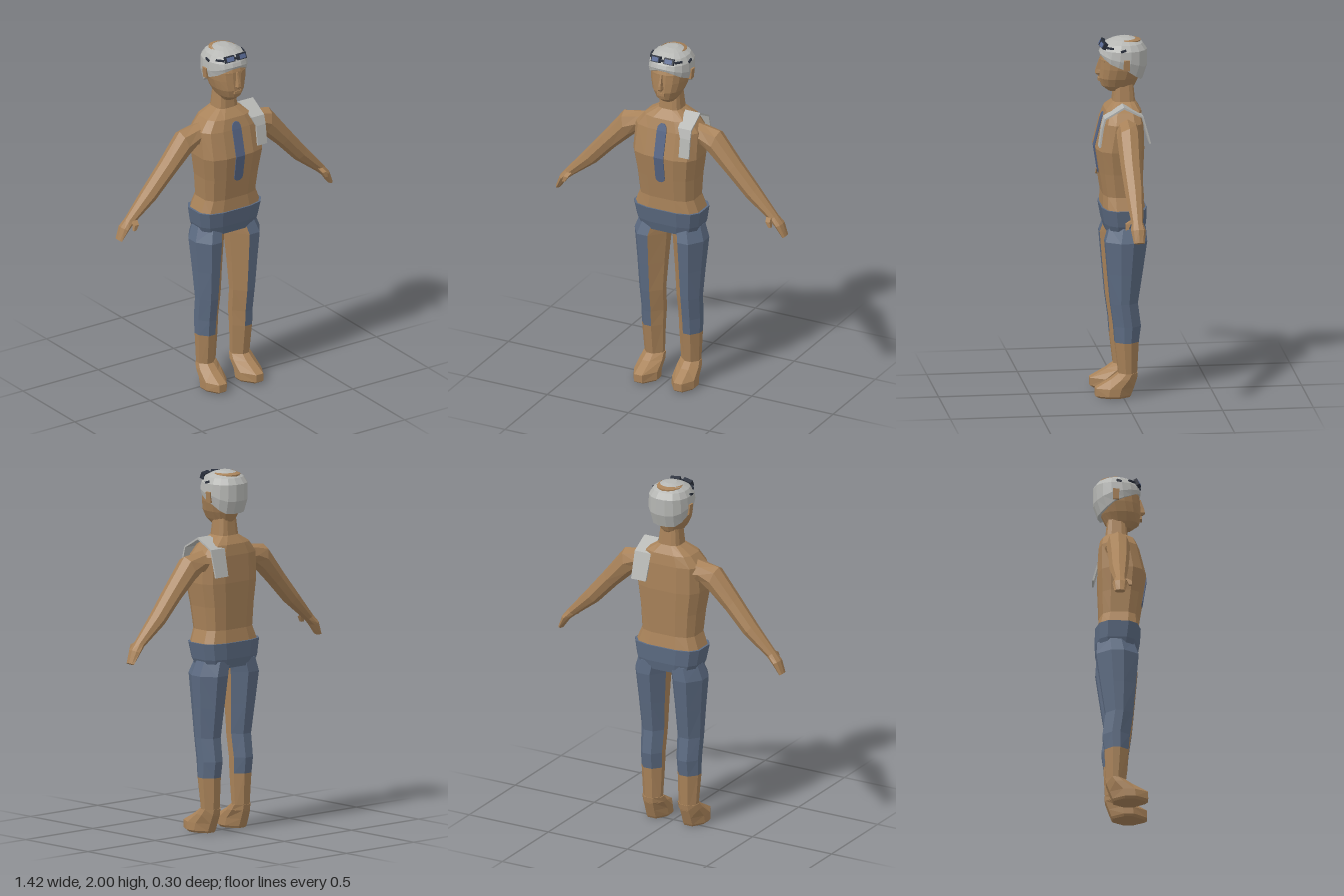
import * as THREE from 'three';

const mat = (name, color) => {
  const m = new THREE.MeshStandardMaterial({ color });
  m.name = name;
  return m;
};

// Cross-section: rounded-square loop at height y, with separate front and back depth
function ring(y, hw, zf, zb, n = 12, p = 0.6) {
  const zm = (zf + zb) / 2, d = (zf - zb) / 2, pts = [];
  for (let i = 0; i < n; i++) {
    const a = ((i + 0.5) / n) * Math.PI * 2, c = Math.cos(a), s = Math.sin(a);
    pts.push([hw * Math.sign(c) * Math.abs(c) ** p, y, zm + d * Math.sign(s) * Math.abs(s) ** p]);
  }
  return pts;
}

// Faceted skin over a list of loops; pick(row, column) chooses the material, row -1 and -2 are the caps
function loft(name, rings, mats, pick = () => 0) {
  const list = Array.isArray(mats) ? mats : [mats];
  const tris = list.map(() => []);
  const n = rings[0].length, all = rings.flat();
  const mean = pts => [0, 1, 2].map(k => pts.reduce((s, p) => s + p[k], 0) / pts.length);
  for (let r = 0; r < rings.length - 1; r++) for (let c = 0; c < n; c++) {
    const d = (c + 1) % n, A = rings[r], B = rings[r + 1];
    tris[pick(r, c)].push([A[c], B[c], B[d]], [A[c], B[d], A[d]]);
  }
  const first = rings[0], last = rings[rings.length - 1], m0 = mean(first), m1 = mean(last);
  for (let c = 0; c < n; c++) {
    const d = (c + 1) % n;
    tris[pick(-1, c)].push([m0, first[c], first[d]]);
    tris[pick(-2, c)].push([m1, last[d], last[c]]);
  }
  // Turn the faces outward if the enclosed volume comes out negative
  const o = new THREE.Vector3(...mean(all));
  let vol = 0;
  for (const t of tris.flat()) {
    const [a, b, c] = t.map(p => new THREE.Vector3(...p).sub(o));
    vol += a.dot(b.cross(c));
  }
  const pos = [], g = new THREE.BufferGeometry();
  tris.forEach((set, i) => {
    g.addGroup(pos.length / 3, set.length * 3, i);
    for (const [a, b, c] of set) pos.push(...a, ...(vol < 0 ? c : b), ...(vol < 0 ? b : c));
  });
  g.setAttribute('position', new THREE.Float32BufferAttribute(pos, 3));
  g.computeVertexNormals();
  const mesh = new THREE.Mesh(g, list.length > 1 ? list : list[0]);
  mesh.name = name;
  return mesh;
}

function box(name, size, at, material, rot = [0, 0, 0]) {
  const m = new THREE.Mesh(new THREE.BoxGeometry(...size), material);
  m.name = name;
  m.position.set(...at);
  m.rotation.set(...rot);
  return m;
}

export function createModel() {
  const skin = mat('skin', 0xa88259), shorts = mat('shorts blue', 0x5c6b82);
  const capGrey = mat('cap grey', 0xb6b7b4), stripeBlue = mat('stripe blue', 0x566585);
  const dark = mat('goggle frame', 0x2a303c), lens = mat('goggle lens', 0x5a6b96);
  const model = new THREE.Group();
  model.name = 'swimmer';
  const add = (...m) => model.add(...m);

  // Torso and neck
  const torso = [
    [1.05, 0.2, 0.108, -0.13], [1.13, 0.168, 0.105, -0.115], [1.26, 0.178, 0.125, -0.12],
    [1.39, 0.198, 0.145, -0.125], [1.54, 0.195, 0.108, -0.12], [1.6, 0.145, 0.088, -0.11],
    [1.645, 0.068, 0.045, -0.08], [1.75, 0.056, 0.035, -0.07]];
  add(loft('torso', torso.map(r => ring(...r)), skin));

  // Hips of the shorts, bare below
  add(loft('hips', [[0.92, 0.17, 0.085, -0.125], [0.97, 0.192, 0.1, -0.135], [1.06, 0.208, 0.116, -0.138]]
    .map(r => ring(...r)), [shorts, skin], r => (r === -1 ? 1 : 0)));

  // Chest stripe following the front of the torso
  const front = y => {
    const i = Math.max(0, torso.findIndex(r => r[0] >= y) - 1), a = torso[i], b = torso[i + 1];
    const f = (y - a[0]) / (b[0] - a[0]);
    const z = k => (a[2] + a[3]) / 2 * (1 - k) + (b[2] + b[3]) / 2 * k
      + 0.979 * ((a[2] - a[3]) / 2 * (1 - k) + (b[2] - b[3]) / 2 * k);
    return z(f);
  };
  add(loft('chestStripe', [[1.238, 0.01], [1.246, 0.022], [1.26, 0.028], [1.39, 0.029], [1.54, 0.029],
    [1.562, 0.026], [1.574, 0.018], [1.58, 0.008]].map(([y, w]) => {
    const z = front(y);
    return [[-w, y, z - 0.003], [w, y, z - 0.003], [w, y, z + 0.005], [-w, y, z + 0.005]];
  }), stripeBlue));

  // Head
  add(loft('head', [
    [1.7, 0.04, 0.065, -0.06], [1.73, 0.06, 0.105, -0.08], [1.775, 0.084, 0.118, -0.1],
    [1.83, 0.1, 0.114, -0.12], [1.88, 0.106, 0.11, -0.125], [1.93, 0.1, 0.092, -0.125],
    [1.97, 0.07, 0.045, -0.095]].map(r => ring(...r, 16, 0.85)), skin));
  add(loft('nose', [[1.785, 0.012, 0.122], [1.8, 0.02, 0.138], [1.82, 0.014, 0.135], [1.88, 0.008, 0.115]]
    .map(([y, w, z]) => [[-w, y, 0.09], [w, y, 0.09], [w * 0.5, y, z], [-w * 0.5, y, z]]), skin));
  add(box('lips', [0.045, 0.016, 0.02], [0, 1.765, 0.112], skin));

  // Swim cap: lower edge runs from the brow over the ears down to the nape
  const capRow = (t, y, hw, zf, zb) => ring(y, hw, zf, zb, 16, 0.9).map(([x, py, z]) => {
    const k = (z - (zf + zb) / 2) / ((zf - zb) / 2);
    const edge = k > 0 ? 1.845 + 0.06 * k * k : 1.845 - 0.075 * Math.min(1, -k * 1.15);
    return [x, edge * (1 - t) + py * t, z];
  });
  add(loft('swimCap', [
    [0, 1.93, 0.112, 0.112, -0.122], [0.45, 1.93, 0.122, 0.116, -0.146], [1, 1.935, 0.118, 0.108, -0.147],
    [1, 1.968, 0.098, 0.086, -0.124], [1, 1.988, 0.066, 0.048, -0.092], [1, 2, 0.03, 0.008, -0.055]]
    .map(r => capRow(...r)), capGrey));

  // Bare crescent around the back of the crown
  const crescent = [];
  for (let i = 0; i <= 10; i++) {
    const a = Math.PI * (0.95 + 1.1 * i / 10), w = 0.002 + 0.012 * Math.sin(Math.PI * i / 10);
    const at = (d, y) => [(0.068 + d) * Math.cos(a), y, -0.024 + (0.075 + d) * Math.sin(a)];
    crescent.push([at(-w, 1.978), at(w, 1.97), at(w, 1.984), at(-w, 1.991)]);
  }
  add(loft('crownCrescent', crescent, skin));

  // Goggles pushed up on the cap
  const goggles = new THREE.Group();
  goggles.name = 'goggles';
  goggles.add(box('bridge', [0.03, 0.01, 0.012], [0, 1.962, 0.102], dark));
  for (const s of [-1, 1]) {
    goggles.add(
      box('frame', [0.056, 0.036, 0.022], [s * 0.039, 1.962, 0.095], dark, [-0.45, s * 0.2, 0]),
      box('lens', [0.042, 0.024, 0.008], [s * 0.04, 1.965, 0.105], lens, [-0.45, s * 0.2, 0]),
      box('strapEnd', [0.045, 0.01, 0.01], [s * 0.082, 1.953, 0.065], dark, [0, s * 0.85, 0]),
      box('strapClip', [0.008, 0.012, 0.03], [s * 0.116, 1.943, -0.005], dark, [0.3, 0, 0]));
  }
  add(goggles);

  // Strap plate bent over the left shoulder
  add(loft('shoulderPlate', [[1.42, 0.128, 0.12], [1.53, 0.112, 0.12], [1.575, 0.1, 0.1], [1.632, 0, 0.09],
    [1.58, -0.1, 0.08], [1.435, -0.138, 0.09]].map(([y, z, x0], i) => {
    const dy = [0, 0, 0.006, 0.012, 0.006, 0][i], dz = [0.01, 0.01, 0.007, 0, -0.007, -0.01][i];
    return [[x0, y, z], [0.182, y, z], [0.182, y + dy, z + dz], [x0, y + dy, z + dz]];
  }), capGrey));

  // Limbs and ears, mirrored
  const legPlan = [[1, 0.65], [0.72, 1], [0.38, 1], [0, 0.62], [0, 0.35], [0.3, 0], [0.7, 0], [1, 0.35]];
  for (const s of [1, -1]) {
    const side = s > 0 ? 'left' : 'right';
    const legRing = ([y, xi, xo, zf, zb]) =>
      legPlan.map(([u, w]) => [s * (xi + (xo - xi) * u), y, zb + (zf - zb) * w]);

    // Leg: shorts with a bare inner strip, bare shin
    add(loft(side + 'Leg', [
      [0.1, 0.058, 0.165, 0.02, -0.075], [0.31, 0.05, 0.178, 0.045, -0.085], [0.4, 0.046, 0.18, 0.052, -0.097],
      [0.53, 0.042, 0.184, 0.07, -0.08], [0.7, 0.032, 0.196, 0.085, -0.105], [0.88, 0.018, 0.212, 0.1, -0.13],
      [0.96, 0.004, 0.185, 0.075, -0.125]].map(legRing), [shorts, skin],
      (r, c) => (r === 0 || r === -1 || ((c === 2 || c === 3) && r < 6 && r > 0) ? 1 : 0)));

    // Foot
    add(loft(side + 'Foot', [
      [0, 0.055, 0.175, 0.135, -0.035], [0.012, 0.045, 0.186, 0.153, -0.042], [0.055, 0.046, 0.184, 0.153, -0.058],
      [0.105, 0.046, 0.178, 0.065, -0.076], [0.135, 0.052, 0.17, 0.025, -0.08]].map(legRing), skin));

    // Arm and hand: upper edge, lower edge, front and back depth
    add(loft(side + 'Arm', [
      [0.13, 1.58, 0.15, 1.43, 0.05, -0.09], [0.2, 1.566, 0.2, 1.45, 0.045, -0.08],
      [0.295, 1.552, 0.25, 1.405, 0.05, -0.08], [0.42, 1.395, 0.35, 1.315, 0.045, -0.07],
      [0.53, 1.262, 0.467, 1.195, 0.035, -0.066], [0.65, 1.122, 0.605, 1.092, 0.02, -0.045],
      [0.685, 1.08, 0.643, 1.06, 0.026, -0.055], [0.708, 1.012, 0.688, 1.0, 0.015, -0.045]]
      .map(([tx, ty, bx, by, zf, zb]) => Array.from({ length: 8 }, (_, i) => {
        const a = i / 8 * Math.PI * 2, k = Math.cos(a) / 2, q = Math.sin(a) / 2;
        return [s * ((tx + bx) / 2 + (tx - bx) * k), (ty + by) / 2 + (ty - by) * k, (zf + zb) / 2 + (zf - zb) * q];
      })), skin));

    // Thumb
    add(loft(side + 'Thumb', [[0.615, 1.115, 0.01, 0.014], [0.622, 1.1, 0.038, 0.013], [0.635, 1.07, 0.045, 0.008]]
      .map(([x, y, z, r]) => [[s * (x - r), y, z - r], [s * (x + r), y, z - r], [s * (x + r), y, z + r],
        [s * (x - r), y, z + r]]), skin));

    // Ear and brow
    add(box(side + 'Ear', [0.022, 0.06, 0.034], [s * 0.114, 1.862, -0.022], skin, [0, 0, -s * 0.1]));
    add(box(side + 'Brow', [0.04, 0.01, 0.012], [s * 0.045, 1.875, 0.096], skin, [0, s * 0.4, 0]));
  }
  return model;
}
